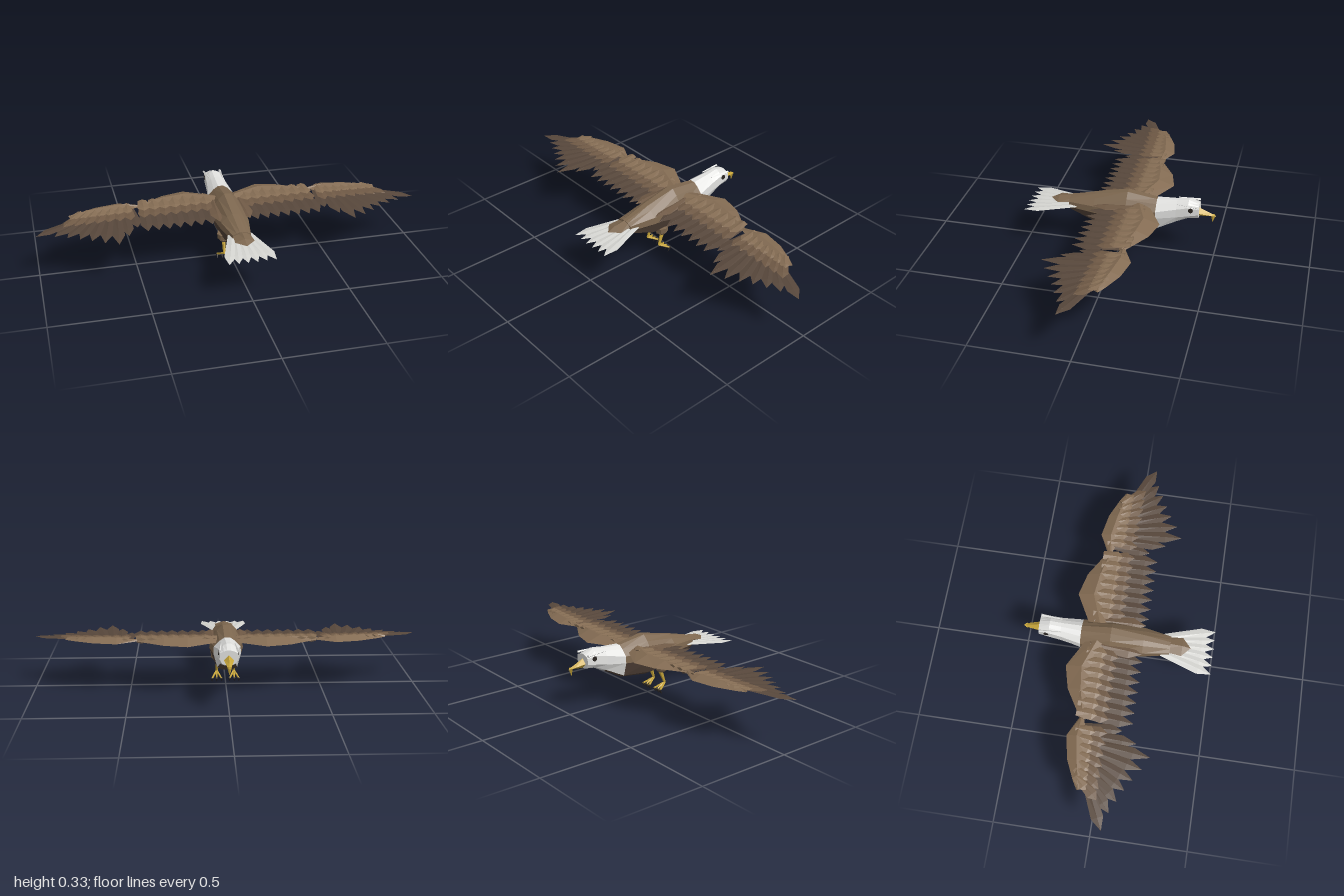
import * as THREE from 'three';

const paint = (name, color) => {
  const m = new THREE.MeshStandardMaterial({ color, flatShading: true });
  m.name = name;
  return m;
};
const M = {
  body: paint('body brown', 0x7d674f),
  belly: paint('belly brown', 0x4f4036),
  covert: paint('covert light brown', 0x846c53),
  median: paint('median brown', 0x6f5945),
  flight: paint('flight feather brown', 0x57473b),
  white: paint('head white', 0xe0e0de),
  tail: paint('tail white', 0xd4d4d0),
  yellow: paint('beak yellow', 0xc8a63a),
  black: paint('claw black', 0x2a2522),
};
const lerp = THREE.MathUtils.lerp;

// Joins rings of points with flat faces; keep(i, j) picks faces, flip reverses them
function loft(rings, { keep = () => true, caps = true, flip = false } = {}) {
  const pos = [];
  const tri = (a, b, c) => pos.push(...a, ...(flip ? c : b), ...(flip ? b : c));
  const n = rings[0].length;
  for (let i = 0; i < rings.length - 1; i++)
    for (let j = 0; j < n; j++) {
      if (!keep(i, j)) continue;
      const k = (j + 1) % n;
      const a = rings[i][j], b = rings[i][k], c = rings[i + 1][k], d = rings[i + 1][j];
      tri(a, d, c);
      tri(a, c, b);
    }
  const last = rings[rings.length - 1];
  if (caps)
    for (let j = 1; j < n - 1; j++) {
      tri(rings[0][0], rings[0][j], rings[0][j + 1]);
      tri(last[0], last[j + 1], last[j]);
    }
  const g = new THREE.BufferGeometry();
  g.setAttribute('position', new THREE.Float32BufferAttribute(pos, 3));
  g.computeVertexNormals();
  return g;
}

function add(parent, name, geometry, material) {
  const mesh = new THREE.Mesh(geometry, material);
  mesh.name = name;
  parent.add(mesh);
  return mesh;
}

// Pointed blade with a raised centre rib, w is half its width
function feather(parent, name, root, tip, w, t, material) {
  const from = new THREE.Vector3(...root), to = new THREE.Vector3(...tip);
  const L = from.distanceTo(to);
  const ring = (z, rw, rt) => [[0, -rt, z], [rw, 0, z], [0, rt, z], [-rw, 0, z]];
  const g = loft([ring(L, 0.001, 0.0005), ring(L * 0.75, w, t * 0.7), ring(0, w * 0.75, t)]);
  const mesh = add(parent, name, g, material);
  mesh.position.copy(from);
  mesh.lookAt(to);
}

// Tapered round bar between two points
function bar(parent, name, a, b, ra, rb, material, sides = 6) {
  const p = new THREE.Vector3(...a), q = new THREE.Vector3(...b);
  const mesh = add(parent, name, new THREE.CylinderGeometry(rb, ra, p.distanceTo(q), sides), material);
  mesh.position.copy(p).add(q).multiplyScalar(0.5);
  mesh.quaternion.setFromUnitVectors(new THREE.Vector3(0, 1, 0), q.sub(p).normalize());
}

// Body and head share one run of cross-sections
function addBody(parent) {
  // z, bottom, lower edge, side low, side high, top, half width
  const rings = [
    [0.27, 0.2, 0.205, 0.222, 0.25, 0.264, 0.048],
    [0.13, 0.145, 0.155, 0.218, 0.255, 0.3, 0.074],
    [-0.04, 0.122, 0.142, 0.213, 0.252, 0.335, 0.088],
    [-0.195, 0.14, 0.153, 0.225, 0.262, 0.31, 0.07],
    [-0.3, 0.195, 0.205, 0.238, 0.283, 0.317, 0.054],
    [-0.36, 0.225, 0.232, 0.25, 0.297, 0.325, 0.05],
    [-0.415, 0.232, 0.238, 0.26, 0.292, 0.306, 0.045],
  ].map(([z, yb, yl, ym, yu, yt, w]) => {
    const half = [[w * 0.35, yb], [w * 0.72, yl], [w, ym], [w * 0.97, yu], [w * 0.55, lerp(yu, yt, 0.65)], [w * 0.2, yt]];
    return [...half, ...half.map(([x, y]) => [-x, y]).reverse()].map(([x, y]) => [x, y, z]);
  });
  const lower = (j) => [0, 1, 9, 10, 11].includes(j);
  const chest = (j) => [0, 10, 11].includes(j);
  const body = rings.slice(0, 4), head = rings.slice(3);
  add(parent, 'back', loft(body, { keep: (i, j) => !lower(j) }), M.body);
  add(parent, 'belly', loft(body, { keep: (i, j) => lower(j), caps: false }), M.belly);
  add(parent, 'head', loft(head, { keep: (i, j) => i > 0 || !chest(j) }), M.white);
  add(parent, 'breast', loft(head, { keep: (i, j) => i === 0 && chest(j), caps: false }), M.belly);

  // Hooked beak
  const beakRing = (z, lo, hi, w) => [[0, lo, z], [w, (lo + hi) / 2, z], [0, hi, z], [-w, (lo + hi) / 2, z]];
  add(parent, 'beak', loft([
    beakRing(-0.41, 0.232, 0.284, 0.026), beakRing(-0.47, 0.238, 0.257, 0.014), beakRing(-0.5, 0.236, 0.243, 0.004),
  ]), M.yellow);
  bar(parent, 'beakHook', [0, 0.246, -0.487], [0, 0.205, -0.485], 0.013, 0.001, M.yellow, 4);

  for (const s of [1, -1]) {
    const eye = add(parent, 'eye', new THREE.CylinderGeometry(0.013, 0.013, 0.008, 8), M.black);
    eye.rotation.z = Math.PI / 2;
    eye.position.set(s * 0.047, 0.284, -0.375);
    // Brow ridge over the eye
    bar(parent, 'brow', [s * 0.036, 0.307, -0.3], [s * 0.045, 0.303, -0.413], 0.003, 0.007, M.white, 4);
  }
}

function addTail(parent) {
  for (let i = 0; i < 6; i++) {
    const u = i - 2.5;
    feather(parent, 'tailFeather', [u * 0.016, 0.232, 0.23], [u * 0.047, 0.216, 0.497 - Math.abs(u) * 0.001], 0.029, 0.006, M.tail);
  }
  feather(parent, 'tailCovert', [0, 0.25, 0.2], [0, 0.24, 0.375], 0.05, 0.022, M.body);
}

function addWing(parent, s) {
  const wing = new THREE.Group();
  wing.name = s > 0 ? 'leftWing' : 'rightWing';
  parent.add(wing);

  // Rounded leading edges: x, front z, back z, half thickness
  const edge = (name, sections) => add(wing, name, loft(sections.map(([x, zf, zb, t]) => {
    const zm = lerp(zf, zb, 0.5), y = 0.279;
    return [[s * x, y - t, zm], [s * x, y - 0.003, zb], [s * x, y + t, zm], [s * x, y - 0.004, zf]];
  }), { flip: s < 0 }), M.covert);
  edge('innerLeadingEdge', [
    [0.05, -0.165, -0.05, 0.018], [0.2, -0.245, -0.08, 0.023], [0.32, -0.215, -0.08, 0.021],
    [0.42, -0.155, -0.09, 0.014], [0.468, -0.125, -0.1, 0.005],
  ]);
  edge('outerLeadingEdge', [
    [0.455, -0.128, -0.11, 0.004], [0.56, -0.18, -0.075, 0.016], [0.68, -0.157, -0.06, 0.015],
    [0.78, -0.112, -0.06, 0.009], [0.825, -0.086, -0.075, 0.003],
  ]);

  // Inner wing rows
  for (let i = 0; i < 7; i++) {
    const u = i / 6;
    const x = lerp(0.11, 0.435, u), tip = lerp(0.12, 0.45, u);
    feather(wing, 'secondary', [s * x, 0.27, -0.13], [s * tip, 0.26, 0.14], 0.033, 0.007, M.flight);
    feather(wing, 'medianCovert', [s * (x - 0.005), 0.283, -0.13], [s * tip, 0.274, 0.015], 0.031, 0.008, M.median);
    feather(wing, 'lesserCovert', [s * x, 0.291, -0.15], [s * (tip - 0.01), 0.284, -0.045], 0.031, 0.008, M.covert);
  }

  // Outer wing: primaries fan towards the tip
  const tips = [[0.495, 0.09], [0.55, 0.17], [0.61, 0.247], [0.675, 0.215], [0.735, 0.178],
    [0.79, 0.145], [0.85, 0.115], [0.91, 0.085], [1, 0.062]];
  tips.forEach(([x, z], i) => {
    const u = i / 8;
    const root = [s * lerp(0.51, 0.77, u), 0.271, lerp(-0.12, -0.045, u)];
    feather(wing, 'primary', root, [s * x, lerp(0.262, 0.256, u), z], 0.031, 0.006, M.flight);
  });
  for (let i = 0; i < 7; i++) {
    const u = i / 6, x = lerp(0.52, 0.76, u);
    feather(wing, 'primaryCovert', [s * x, 0.28, lerp(-0.13, -0.09, u)], [s * lerp(0.52, 0.86, u), 0.271, 0.02], 0.028, 0.007, M.median);
    feather(wing, 'outerLesserCovert', [s * x, 0.285, lerp(-0.14, -0.1, u)], [s * lerp(0.525, 0.82, u), 0.279, -0.04], 0.025, 0.007, M.covert);
  }
  // Wing root closing the joint with the body
  feather(wing, 'shoulderFeather', [s * 0.065, 0.279, -0.14], [s * 0.08, 0.265, 0.13], 0.036, 0.012, M.median);
}

function addLeg(parent, s) {
  const leg = new THREE.Group();
  leg.name = s > 0 ? 'leftLeg' : 'rightLeg';
  parent.add(leg);
  const x = s * 0.042;
  bar(leg, 'thigh', [x, 0.16, 0.06], [x, 0.13, 0.058], 0.037, 0.034, M.body, 8);
  bar(leg, 'thighCuff', [x, 0.132, 0.058], [x, 0.115, 0.055], 0.034, 0.02, M.body, 8);
  bar(leg, 'shin', [x, 0.12, 0.053], [x + s * 0.004, 0.048, 0.08], 0.012, 0.006, M.yellow);
  for (const k of [-1, 0, 1]) {
    const tx = x + s * 0.005 + k * 0.025;
    bar(leg, 'toe', [x + s * 0.004, 0.05, 0.08], [tx, 0.022, 0.026], 0.006, 0.005, M.yellow, 5);
    bar(leg, 'claw', [tx, 0.025, 0.024], [tx, 0.001, 0.04], 0.007, 0.001, M.black, 5);
  }
}

export function createModel() {
  const bird = new THREE.Group();
  bird.name = 'bird';
  addBody(bird);
  addTail(bird);
  for (const s of [1, -1]) {
    addWing(bird, s);
    addLeg(bird, s);
  }
  return bird;
}
